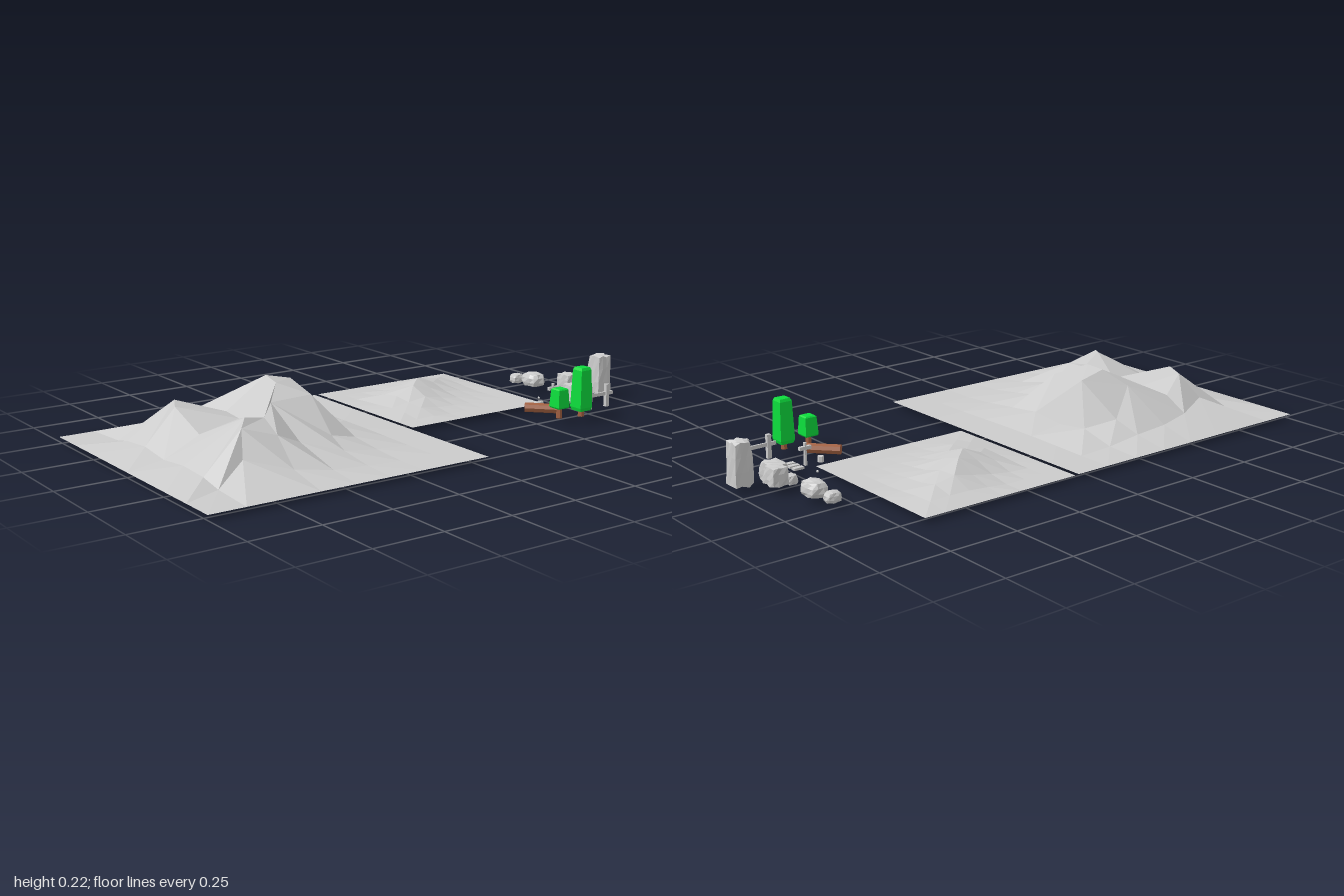
import * as THREE from 'three';

const GREY = 0xcccccc, GREEN = 0x0cdc3c, BROWN = 0xa05f40;
const BASE = 0.017;

function add(parent, name, geo, color, x = 0, y = 0, z = 0, side = THREE.FrontSide) {
  const m = new THREE.Mesh(geo, new THREE.MeshStandardMaterial({ color, flatShading: true, side }));
  m.name = name;
  m.position.set(x, y, z);
  parent.add(m);
  return m;
}

// Square sheet of 8 x 8 cells; inner heights row by row from the back,
// plus a few vertices moved to fixed [column, row, x, z] spots.
// Each cell is split along its higher diagonal so ridges run unbroken.
function terrain(size, cx, cz, rows, moved = []) {
  const geo = new THREE.PlaneGeometry(size, size, 8, 8).rotateX(-Math.PI / 2).translate(cx, BASE, cz);
  const p = geo.attributes.position;
  rows.forEach((row, j) => row.forEach((h, i) => p.setY((j + 1) * 9 + i + 1, BASE + h / 1000)));
  for (const [i, j, x, z] of moved) {
    p.setX(j * 9 + i, x);
    p.setZ(j * 9 + i, z);
  }
  const index = [];
  for (let j = 0; j < 8; j++) {
    for (let i = 0; i < 8; i++) {
      const a = j * 9 + i, b = a + 9, c = b + 1, d = a + 1;
      if (p.getY(a) + p.getY(c) > p.getY(b) + p.getY(d)) index.push(a, b, c, a, c, d);
      else index.push(a, b, d, b, c, d);
    }
  }
  geo.setIndex(index);
  geo.computeVertexNormals();
  return geo;
}

// Faceted boulder: chamfered block pulled towards a sphere, tapered upwards, slightly uneven
function rock(w, h, d, round, taper, seed) {
  const geo = new THREE.BoxGeometry(2, 2, 2, 3, 3, 3);
  const p = geo.attributes.position, v = new THREE.Vector3(), ball = new THREE.Vector3();
  for (let i = 0; i < p.count; i++) {
    v.fromBufferAttribute(p, i);
    ball.copy(v).normalize();
    const wob = 1 + 0.06 * Math.sin(v.x * 5 + v.y * 7 + v.z * 4 + seed);
    v.lerp(ball, round).multiplyScalar(wob).clampScalar(-1, 1);
    const t = 1 - taper * (v.y + 1) / 2;
    p.setXYZ(i, v.x * t * w / 2, v.y * h / 2, v.z * t * d / 2);
  }
  geo.computeVertexNormals();
  return geo;
}

// Square crown on a short trunk
function tree(parent, name, x, z, w, y0, y1) {
  const g = new THREE.Group();
  g.name = name;
  g.position.set(x, 0, z);
  const r = w / Math.SQRT2, h = y1 - y0;
  const profile = [[0, y0], [r * 0.85, y0], [r, y0 + h * 0.08], [r * 0.84, y1 - h * 0.06], [r * 0.68, y1], [0, y1]];
  const crown = new THREE.LatheGeometry(profile.map(([a, b]) => new THREE.Vector2(a, b)), 4, Math.PI / 4);
  add(g, 'crown', crown, GREEN);
  const th = y0 + 0.01 - BASE;
  add(g, 'trunk', new THREE.CylinderGeometry(0.01, 0.012, th, 6), BROWN, 0, BASE + th / 2, 0);
  parent.add(g);
}

export function createModel() {
  const model = new THREE.Group();
  model.name = 'landscapeSet';

  // Large hill: flat summit, back cliff, saddle to the right knoll, left knoll in front
  add(model, 'largeHill', terrain(1.05, 0, 0.475, [
    [0, 2, 4, 4, 2, 0, 0],
    [6, 38, 22, 36, 22, 8, 0],
    [22, 62, 180, 160, 48, 24, 6],
    [32, 148, 203, 198, 155, 58, 14],
    [44, 92, 100, 106, 134, 108, 28],
    [64, 147, 147, 84, 158, 144, 62],
    [4, 24, 34, 20, 32, 26, 4],
  ], [
    [2, 3, -0.31, 0.32], [3, 3, -0.17, 0.28], [4, 3, 0.01, 0.31], [5, 3, 0.15, 0.32],
    [2, 4, -0.24, 0.44], [3, 4, -0.17, 0.38], [4, 4, -0.07, 0.4], [5, 4, 0.01, 0.47], [6, 4, 0.19, 0.47],
    [1, 5, -0.37, 0.6], [2, 5, -0.28, 0.6], [3, 5, -0.16, 0.545], [4, 5, -0.03, 0.57],
    [5, 5, 0.1, 0.55], [6, 5, 0.23, 0.58], [7, 5, 0.36, 0.6],
    [1, 6, -0.31, 0.74], [2, 6, -0.24, 0.7], [3, 6, -0.15, 0.745],
    [5, 6, 0.145, 0.65], [6, 6, 0.21, 0.7], [7, 6, 0.275, 0.735],
    [1, 7, -0.35, 0.86], [7, 7, 0.34, 0.86],
  ]), GREY, 0, 0, 0, THREE.DoubleSide);

  // Small hill with a diagonal ridge
  add(model, 'smallHill', terrain(0.61, -0.223, -0.372, [
    [12, 10, 4, 0, 0, 0, 0],
    [15, 30, 16, 10, 4, 0, 0],
    [14, 44, 40, 20, 10, 2, 0],
    [8, 28, 66, 44, 20, 6, 0],
    [0, 14, 42, 62, 34, 10, 0],
    [0, 4, 24, 32, 24, 20, 4],
    [0, 0, 4, 8, 12, 12, 2],
  ]), GREY, 0, 0, 0, THREE.DoubleSide);

  // Boulders: name, width, height, depth, x, bottom, z, roundness, taper
  [
    ['tallRock', 0.074, 0.156, 0.074, 0.08, 0.014, -0.963, 0.22, 0.2],
    ['blockRock', 0.074, 0.066, 0.068, -0.008, 0.024, -0.882, 0.3, 0.15],
    ['wideRock', 0.09, 0.07, 0.074, 0.08, 0, -0.838, 0.3, 0.12],
    ['pebble', 0.046, 0.035, 0.038, 0.002, 0.01, -0.823, 0.5, 0.1],
    ['roundRock', 0.102, 0.06, 0.082, -0.155, 0.014, -0.834, 0.8, 0.15],
    ['littleRock', 0.05, 0.042, 0.064, -0.236, 0.014, -0.818, 0.8, 0.15],
  ].forEach(([name, w, h, d, x, y, z, round, tp], i) =>
    add(model, name, rock(w, h, d, round, tp, i * 1.7), GREY, x, y + h / 2, z));

  // Trees and fallen log
  tree(model, 'tallTree', 0.306, -0.662, 0.056, 0.04, 0.2);
  tree(model, 'smallTree', 0.281, -0.579, 0.052, 0.055, 0.128);
  const log = add(model, 'log', new THREE.CylinderGeometry(0.018, 0.018, 0.125, 8).rotateZ(Math.PI / 2),
    BROWN, 0.181, BASE + 0.016, -0.584);
  log.rotation.y = 0.75;

  // Fence of two posts and a rail
  const fence = new THREE.Group();
  fence.name = 'fence';
  for (const z of [-0.84, -0.755]) {
    add(fence, 'fencePost', new THREE.BoxGeometry(0.014, 0.085, 0.015), GREY, 0.251, BASE + 0.0425, z);
  }
  add(fence, 'fenceRail', new THREE.BoxGeometry(0.007, 0.013, 0.142), GREY, 0.251, 0.067, -0.798);
  model.add(fence);

  // Loose planks, signpost, stump and chip
  for (const x of [0.087, 0.114, 0.141]) {
    add(model, 'plank', new THREE.BoxGeometry(0.018, 0.008, 0.038), GREY, x, BASE + 0.006, -0.743);
  }
  add(model, 'signPost', new THREE.CylinderGeometry(0.006, 0.007, 0.08, 6), GREY, 0.112, BASE + 0.04, -0.698);
  add(model, 'signArm', new THREE.BoxGeometry(0.012, 0.012, 0.045), GREY, 0.112, 0.078, -0.698);
  add(model, 'stump', new THREE.CylinderGeometry(0.011, 0.012, 0.02, 7), GREY, 0.112, BASE + 0.01, -0.638);
  add(model, 'chip', new THREE.IcosahedronGeometry(0.005), GREY, 0.023, BASE + 0.005, -0.708);

  return model;
}
